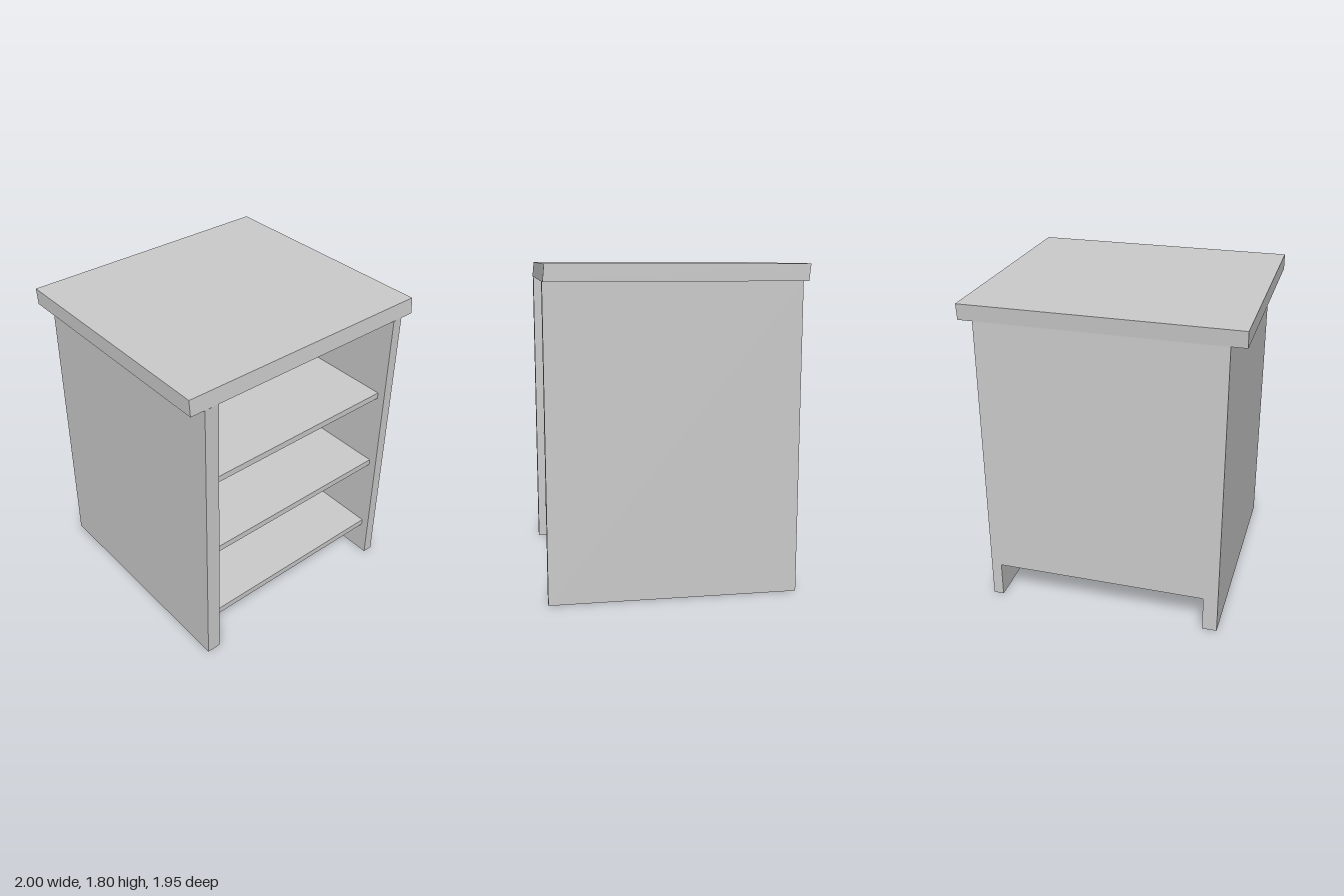
import * as THREE from 'three';

export function createModel() {
  const model = new THREE.Group();
  model.name = 'shelfCabinet';
  const material = new THREE.MeshStandardMaterial({ color: 0xcccccc });

  // Cabinet in its own frame, turned as a whole
  const cabinet = new THREE.Group();
  cabinet.name = 'cabinet';
  cabinet.rotation.y = Math.PI / 6;
  model.add(cabinet);

  // Box given by its limits on each axis
  function board(name, [x0, x1], [y0, y1], [z0, z1]) {
    const geometry = new THREE.BoxGeometry(x1 - x0, y1 - y0, z1 - z0);
    const mesh = new THREE.Mesh(geometry, material);
    mesh.position.set((x0 + x1) / 2, (y0 + y1) / 2, (z0 + z1) / 2);
    mesh.name = name;
    cabinet.add(mesh);
    return mesh;
  }

  const top = 1.71, back = -0.678, front = 0.69;
  const inner = [-0.589, 0.617], backInner = -0.638;

  // Side panels reaching the floor (the right one is thicker)
  board('rightPanel', [-0.672, inner[0]], [0, top], [back, front]);
  board('leftPanel', [inner[1], 0.675], [0, top], [back, front]);

  // Back panel, raised off the floor
  board('backPanel', inner, [0.205, top], [back, backInner]);

  // Evenly spaced shelves, set back from the front edge
  for (let i = 0; i < 4; i++) {
    const y = 0.205 + i * 0.489;
    board('shelf' + (i + 1), inner, [y, y + 0.037], [backInner, 0.643]);
  }

  // Overhanging top whose front and back edges lean slightly backwards
  const slab = board('topBoard', [-0.756, 0.756], [top, 1.8], [-0.685, 0.685]);
  const p = slab.geometry.attributes.position;
  for (let i = 0; i < p.count; i++) p.setZ(i, p.getZ(i) - 0.1 * p.getY(i));
  slab.geometry.computeVertexNormals();

  return model;
}
